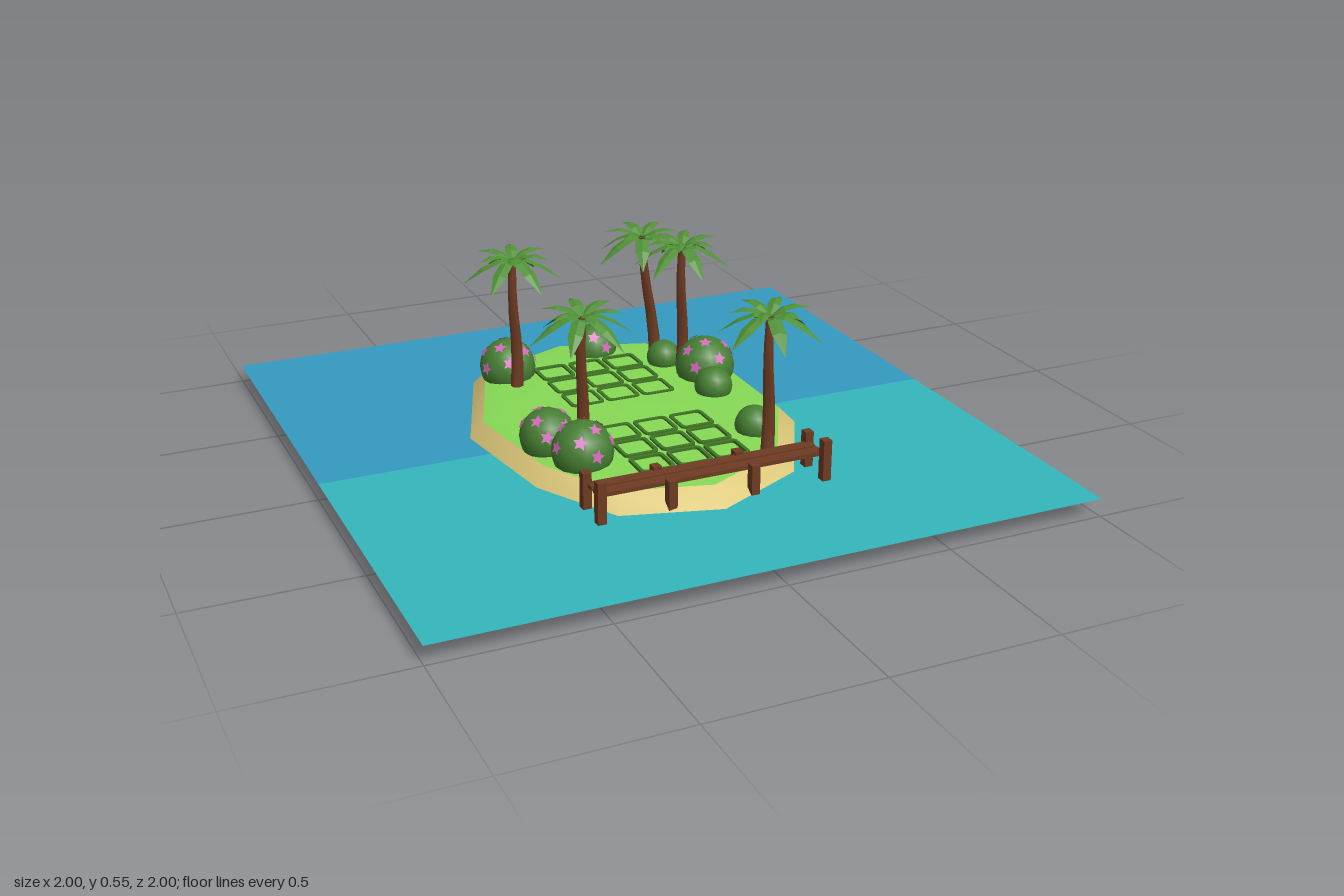
import * as THREE from 'three';
import { mergeGeometries } from 'three/addons/utils/BufferGeometryUtils.js';

const mat = (name, color, side = THREE.FrontSide) => {
  const m = new THREE.MeshStandardMaterial({ color, side });
  m.name = name;
  return m;
};

// Shoreline at water level
const SHORE = [[0, -0.675], [0.3, -0.575], [0.465, -0.28], [0.465, 0.16], [0.29, 0.48],
  [0, 0.62], [-0.29, 0.54], [-0.43, 0.28], [-0.49, -0.12], [-0.335, -0.54]];

// Joins scaled copies of the shoreline, given as [scale, height]
function loftShore(rings) {
  const pos = [], index = [], n = SHORE.length;
  for (const [s, y] of rings)
    for (const [x, z] of SHORE) pos.push(x * s, y, -0.15 + (z + 0.15) * s);
  for (let r = 0; r < rings.length - 1; r++)
    for (let i = 0; i < n; i++) {
      const a = r * n + i, b = r * n + (i + 1) % n;
      index.push(a, a + n, b + n, a, b + n, b);
    }
  return surface(pos, index);
}

function surface(pos, index) {
  const g = new THREE.BufferGeometry();
  g.setAttribute('position', new THREE.Float32BufferAttribute(pos, 3));
  g.setIndex(index);
  g.computeVertexNormals();
  return g;
}

// Creased leaf along +z, from stations of [distance, height, half width]
function leafGeometry(stations) {
  const pos = [], index = [];
  for (const [z, y, w] of stations) pos.push(-w, y - w * 0.3, z, 0, y, z, w, y - w * 0.3, z);
  for (let i = 0; i < stations.length - 1; i++)
    for (let j = 0; j < 2; j++) {
      const a = i * 3 + j;
      index.push(a, a + 3, a + 1, a + 1, a + 3, a + 4);
    }
  const g = surface(pos, index).toNonIndexed();
  g.computeVertexNormals();
  return g;
}

// Long drooping leaves below, short rising leaves above
function crownGeometry() {
  const long = leafGeometry([[0, 0, 0.006], [0.045, 0.012, 0.021], [0.095, -0.012, 0.022], [0.155, -0.062, 0.001]]);
  const short = leafGeometry([[0, 0.005, 0.006], [0.04, 0.03, 0.019], [0.075, 0.036, 0.017], [0.12, 0.024, 0.001]]);
  const parts = [];
  for (let i = 0; i < 6; i++) {
    const a = i * Math.PI / 3;
    parts.push(long.clone().rotateY(a + 0.25), short.clone().rotateY(a + 0.77));
  }
  return mergeGeometries(parts);
}

// Tapered, slightly crooked trunk from base to top
function trunkGeometry(dx, dz) {
  const h = 0.42, g = new THREE.CylinderGeometry(0.012, 0.021, h, 7, 5);
  const p = g.attributes.position;
  for (let i = 0; i < p.count; i++) {
    const t = p.getY(i) / h + 0.5, bend = 0.007 * Math.sin(t * Math.PI * 2);
    p.setX(i, p.getX(i) + dx * t + bend);
    p.setZ(i, p.getZ(i) + dz * t - bend);
  }
  g.translate(0, h / 2 + 0.1, 0);
  g.computeVertexNormals();
  return g;
}

function flowerGeometry() {
  const shape = new THREE.Shape();
  for (let i = 0; i < 10; i++) {
    const a = i * Math.PI / 5, r = i % 2 ? 0.011 : 0.023;
    shape[i ? 'lineTo' : 'moveTo'](Math.cos(a) * r, Math.sin(a) * r);
  }
  return new THREE.ShapeGeometry(shape);
}

function roundedRect(path, h, r) {
  path.moveTo(-h + r, -h);
  path.lineTo(h - r, -h); path.quadraticCurveTo(h, -h, h, -h + r);
  path.lineTo(h, h - r); path.quadraticCurveTo(h, h, h - r, h);
  path.lineTo(-h + r, h); path.quadraticCurveTo(-h, h, -h, h - r);
  path.lineTo(-h, -h + r); path.quadraticCurveTo(-h, -h, -h + r, -h);
  return path;
}

export function createModel() {
  const root = new THREE.Group();
  root.name = 'island';
  const D = THREE.DoubleSide;
  const m = {
    deep: mat('deepWater', 0x3399c0, D), shallow: mat('shallowWater', 0x34b6bc, D),
    sand: mat('sand', 0xdcc87a, D), grass: mat('grass', 0x86d955),
    frame: mat('plotBorder', 0x3f7524), wood: mat('wood', 0x6e3b22),
    leaf: mat('palmLeaf', 0x4f8f35, D), bush: mat('bushGreen', 0x467f32),
    flower: mat('flowerPink', 0xd468bc, D),
  };
  const add = (name, geo, material, x = 0, y = 0, z = 0, parent = root) => {
    const mesh = new THREE.Mesh(geo, material);
    mesh.name = name;
    mesh.position.set(x, y, z);
    parent.add(mesh);
    return mesh;
  };

  // Water and ground
  add('deepWater', new THREE.PlaneGeometry(2, 1.01).rotateX(-Math.PI / 2), m.deep, 0, 0.055, -0.495);
  add('shallowWater', new THREE.PlaneGeometry(2, 0.99).rotateX(-Math.PI / 2), m.shallow, 0, 0.055, 0.505);
  add('beach', loftShore([[1.1, 0.01], [0.92, 0.1]]), m.sand);
  add('lawn', loftShore([[0.92, 0.1], [0.8, 0.108], [0.4, 0.112], [0, 0.113]]), m.grass);

  // Two blocks of three by three garden plots
  const border = roundedRect(new THREE.Shape(), 0.055, 0.018);
  border.holes.push(roundedRect(new THREE.Path(), 0.044, 0.012));
  const borderGeo = new THREE.ExtrudeGeometry(border, { depth: 0.012, bevelEnabled: false, curveSegments: 4 });
  borderGeo.rotateX(-Math.PI / 2);
  for (const z of [-0.385, -0.265, -0.145, 0.14, 0.26, 0.38])
    for (const x of [-0.115, 0.005, 0.125]) add('plotBorder', borderGeo, m.frame, x, 0.105, z);

  // Boardwalk: two planks on four pairs of posts
  const dock = new THREE.Group();
  dock.name = 'boardwalk';
  root.add(dock);
  for (const z of [0.482, 0.53])
    add('plank', new THREE.BoxGeometry(0.706, 0.012, 0.038), m.wood, 0, 0.128, z, dock);
  const post = (x, z, low, high) =>
    add('post', new THREE.BoxGeometry(0.026, high - low, 0.028), m.wood, x, (low + high) / 2, z, dock);
  for (const x of [-0.354, 0.348]) {
    post(x, 0.567, 0.035, 0.18);
    post(x, 0.46, 0.03, 0.165);
  }
  for (const x of [-0.14, 0.118]) {
    post(x, 0.567, 0.035, 0.145);
    post(x, 0.46, 0, 0.145);
  }

  // Palms: base x, base z, lean x, lean z, crown turn
  const crown = crownGeometry();
  const palms = [[-0.26, -0.34, 0, -0.015, 0], [0.25, -0.4, -0.04, -0.02, 0.4], [0.29, -0.28, -0.005, 0.005, 0.8],
    [-0.26, 0.205, 0.005, 0, 0.2], [0.24, 0.415, 0, -0.005, 0.6]];
  for (const [x, z, dx, dz, turn] of palms) {
    const palm = new THREE.Group();
    palm.name = 'palm';
    palm.position.set(x, 0, z);
    root.add(palm);
    add('trunk', trunkGeometry(dx, dz), m.wood, 0, 0, 0, palm);
    add('crown', crown, m.leaf, dx, 0.515, dz, palm).rotation.y = turn;
  }

  // Bushes: x, z, radius, top height, flowering
  const bushes = [[-0.255, -0.44, 0.09, 0.23, 1], [0.08, -0.53, 0.078, 0.2, 1], [0.33, -0.19, 0.095, 0.235, 1],
    [0.29, -0.045, 0.06, 0.19, 0], [-0.34, 0.135, 0.085, 0.225, 1], [-0.285, 0.27, 0.092, 0.23, 1],
    [0.27, 0.275, 0.06, 0.185, 0], [0.25, -0.335, 0.055, 0.185, 0]];
  const ball = new THREE.SphereGeometry(1, 14, 10), flower = flowerGeometry();
  bushes.forEach(([x, z, r, top, flowering], k) => {
    const bush = new THREE.Group();
    bush.name = 'bush';
    bush.position.set(x, top - r, z);
    root.add(bush);
    add('foliage', ball, m.bush, 0, 0, 0, bush).scale.setScalar(r);
    for (let i = 0; flowering && i < 10; i++) {
      const y = 0.93 - i * 0.085, s = Math.sqrt(1 - y * y), a = i * 2.4 + k;
      const n = new THREE.Vector3(Math.cos(a) * s, y, Math.sin(a) * s);
      const f = add('flower', flower, m.flower, 0, 0, 0, bush);
      f.position.copy(n).multiplyScalar(r + 0.002);
      f.quaternion.setFromUnitVectors(new THREE.Vector3(0, 0, 1), n);
    }
  });
  return root;
}
